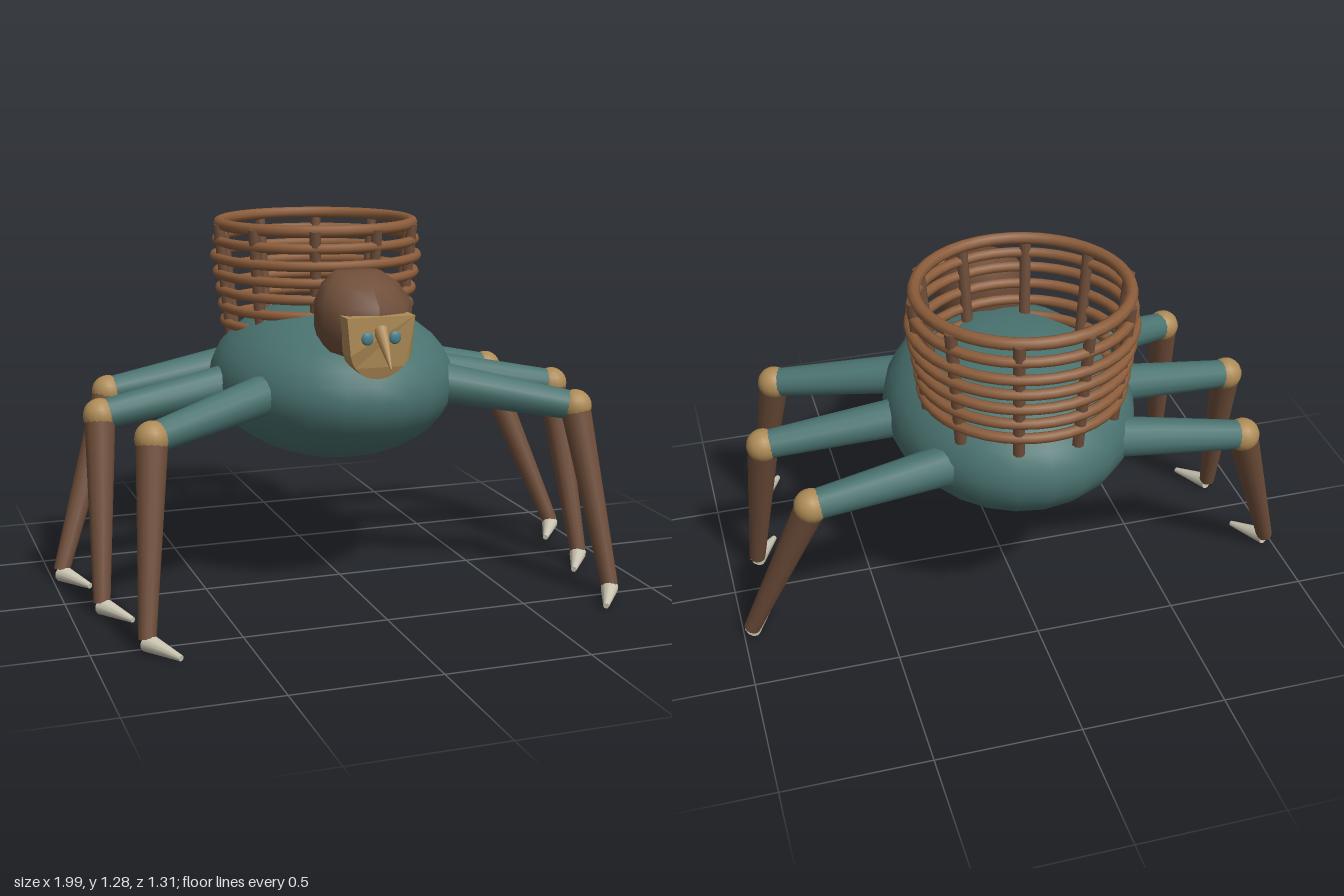
import * as THREE from 'three';

const paint = (name, color) => Object.assign(new THREE.MeshStandardMaterial({ color }), { name });
const V = (x, y, z) => new THREE.Vector3(x, y, z);

export function createModel() {
  const teal = paint('teal shell', 0x4a7370);
  const brown = paint('dark brown', 0x6f4e3a);
  const wicker = paint('wicker', 0x8c5d3b);
  const tan = paint('tan', 0xae8b56);
  const claw = paint('pale claw', 0xcac5b2);
  const eyeBlue = paint('eye blue', 0x4a7f8c);
  const model = new THREE.Group();
  model.name = 'basketWalker';

  const add = (parent, name, geometry, material) => {
    const mesh = new THREE.Mesh(geometry, material);
    mesh.name = name;
    parent.add(mesh);
    return mesh;
  };
  // Tapered rod running from point a to point b
  const rod = (parent, name, a, b, ra, rb, material, sides = 14) => {
    const mesh = add(parent, name, new THREE.CylinderGeometry(rb, ra, a.distanceTo(b), sides), material);
    mesh.position.copy(a).lerp(b, 0.5);
    mesh.quaternion.setFromUnitVectors(V(0, 1, 0), b.clone().sub(a).normalize());
    return mesh;
  };
  const ball = (parent, name, p, sx, sy, sz, material, w = 16, h = 12) => {
    const mesh = add(parent, name, new THREE.SphereGeometry(1, w, h), material);
    mesh.position.copy(p);
    mesh.scale.set(sx, sy, sz);
    return mesh;
  };

  // Body
  ball(model, 'body', V(0, 0.722, -0.105), 0.43, 0.277, 0.527, teal, 24, 16);

  // Hair: faceted cap whose crown leans backwards
  const head = new THREE.Group();
  head.name = 'head';
  model.add(head);
  const profile = [[0, 0.8], [0.1, 0.83], [0.15, 0.9], [0.166, 0.96], [0.166, 1.04], [0.13, 1.1], [0.08, 1.138], [0, 1.14]];
  const hair = new THREE.LatheGeometry(profile.map(([r, y]) => new THREE.Vector2(r, y)), 10);
  const hp = hair.attributes.position;
  for (let i = 0; i < hp.count; i++) {
    hp.setZ(i, 0.245 + hp.getZ(i) * 0.97 - Math.max(0, hp.getY(i) - 1.04) * 0.55);
  }
  hair.computeVertexNormals();
  add(head, 'hair', hair, brown);

  // Face: shield-shaped plate with a receding chin
  const outline = new THREE.Shape();
  outline.moveTo(0.118, 1.015);
  outline.lineTo(-0.118, 1.015);
  outline.lineTo(-0.106, 0.89);
  outline.bezierCurveTo(-0.095, 0.84, -0.05, 0.803, 0, 0.803);
  outline.bezierCurveTo(0.05, 0.803, 0.095, 0.84, 0.106, 0.89);
  const face = new THREE.ExtrudeGeometry(outline, { depth: 0.08, bevelEnabled: false, curveSegments: 6 });
  const fp = face.attributes.position;
  for (let i = 0; i < fp.count; i++) {
    fp.setZ(i, 0.345 + fp.getZ(i) - Math.max(0, 0.89 - fp.getY(i)) * 0.3);
  }
  face.computeVertexNormals();
  add(head, 'face', face, tan);

  // Beak and eyes
  rod(head, 'beak', V(0, 0.972, 0.415), V(0, 0.857, 0.517), 0.026, 0.003, tan, 10);
  for (const s of [-1, 1]) ball(head, 'eye', V(s * 0.048, 0.945, 0.425), 0.021, 0.022, 0.009, eyeBlue);

  // Basket: stacked hoops woven round ten leaning stakes
  const basket = new THREE.Group();
  basket.name = 'basket';
  basket.position.z = -0.273;
  model.add(basket);
  const hoopRadii = [0.335, 0.342, 0.35, 0.359, 0.368, 0.36, 0.35];
  hoopRadii.forEach((r, i) => {
    const hoop = add(basket, 'hoop', new THREE.TorusGeometry(r, i === 6 ? 0.021 : 0.018, 8, 40), wicker);
    hoop.rotation.x = Math.PI / 2;
    hoop.position.y = 0.903 + i * 0.0593;
  });
  for (let i = 0; i < 10; i++) {
    const a = (i * Math.PI) / 5;
    const c = Math.cos(a), s = Math.sin(a);
    rod(basket, 'stake', V(c * 0.32, 0.835, s * 0.32), V(c * 0.363, 1.26, s * 0.363), 0.02, 0.02, brown, 8);
  }

  // Legs: hip, knee, ankle and claw tip on the +x side, mirrored
  const legs = [
    ['frontLeg', [0.32, 0.727, 0.163], [0.752, 0.65, 0.35], [0.82, 0.04, 0.522], [0.74, 0.014, 0.648]],
    ['middleLeg', [0.34, 0.727, -0.1], [0.85, 0.65, -0.038], [0.895, 0.04, 0.137], [0.815, 0.014, 0.263]],
    ['rearLeg', [0.28, 0.727, -0.42], [0.752, 0.65, -0.423], [0.97, 0.04, -0.25], [0.89, 0.014, -0.124]],
  ];
  for (const [name, ...points] of legs) {
    for (const side of [-1, 1]) {
      const [hip, knee, ankle, tip] = points.map(([x, y, z]) => V(x * side, y, z));
      const leg = new THREE.Group();
      leg.name = (side > 0 ? 'left ' : 'right ') + name;
      model.add(leg);
      rod(leg, 'upperLeg', hip, knee, 0.07, 0.05, teal);
      ball(leg, 'knee', knee, 0.058, 0.058, 0.058, tan);
      rod(leg, 'lowerLeg', knee, ankle, 0.053, 0.029, brown);
      ankle.y = 0.031;
      rod(leg, 'claw', ankle, tip, 0.031, 0.01, claw, 10);
    }
  }
  return model;
}
